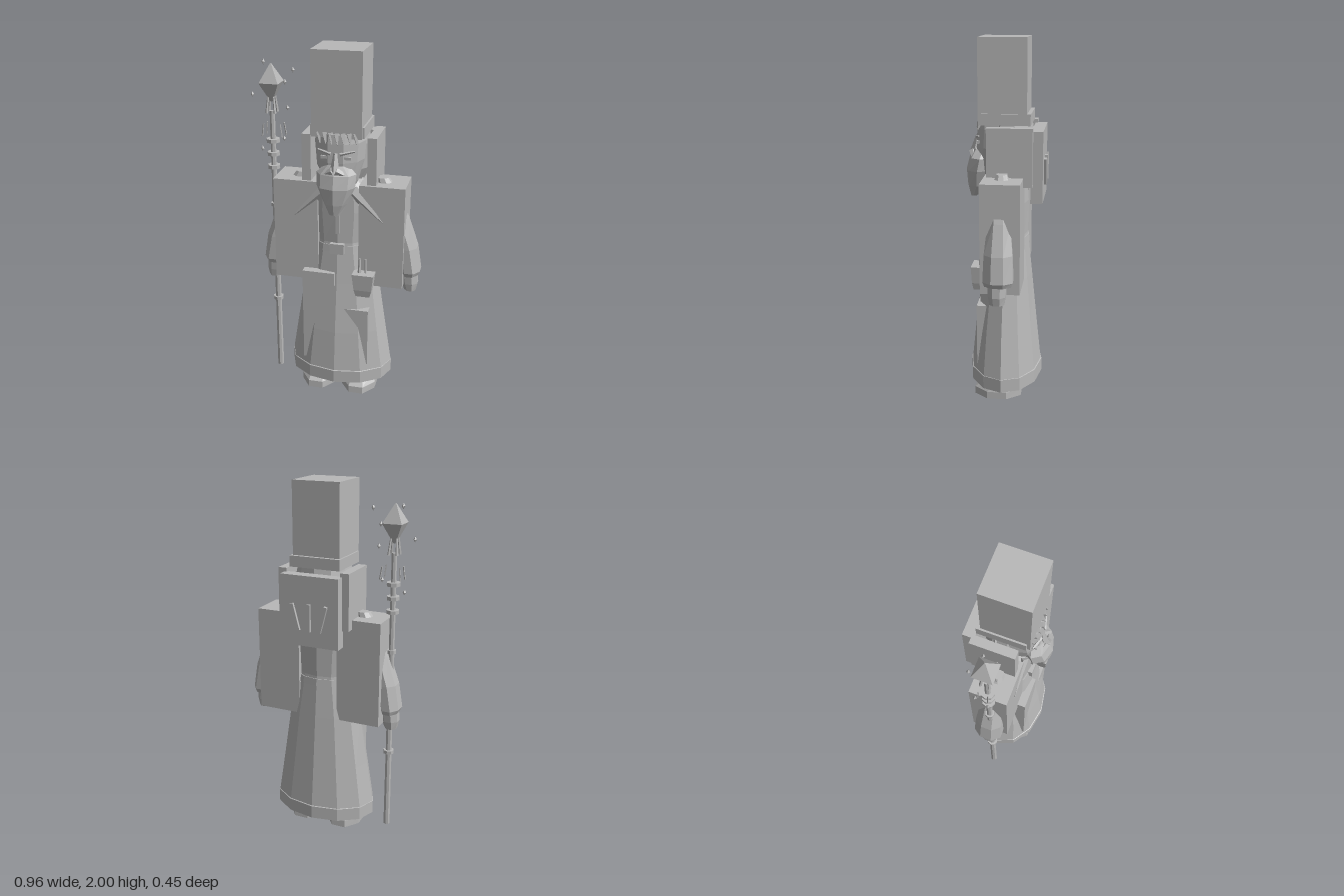
import * as THREE from 'three';

const stone = new THREE.MeshStandardMaterial({ color: 0xb8b8b8, flatShading: true });
stone.name = 'plain grey';

// Closed faceted solid through elliptical rings [y, cx, cz, rx, rz], lowest first
function loft(rings, sides, turn = 0) {
  const pos = [], idx = [];
  for (const [y, cx, cz, rx, rz] of rings) {
    for (let i = 0; i < sides; i++) {
      const a = turn + (i / sides) * Math.PI * 2;
      pos.push(cx + Math.sin(a) * rx, y, cz + Math.cos(a) * rz);
    }
  }
  const last = rings.length - 1, top = last * sides;
  const low = pos.length / 3;
  pos.push(rings[0][1], rings[0][0], rings[0][2]);
  pos.push(rings[last][1], rings[last][0], rings[last][2]);
  for (let i = 0; i < sides; i++) {
    const j = (i + 1) % sides;
    for (let r = 0; r < last; r++) {
      const a = r * sides, b = a + sides;
      idx.push(a + i, a + j, b + j, a + i, b + j, b + i);
    }
    idx.push(low, j, i, low + 1, top + i, top + j);
  }
  const g = new THREE.BufferGeometry();
  g.setAttribute('position', new THREE.Float32BufferAttribute(pos, 3));
  g.setIndex(idx);
  g.computeVertexNormals();
  return g;
}

function add(parent, name, geometry, x = 0, y = 0, z = 0) {
  const m = new THREE.Mesh(geometry, stone);
  m.name = name;
  m.position.set(x, y, z);
  parent.add(m);
  return m;
}

// Box given by its limits on each axis
function block(parent, name, x0, x1, y0, y1, z0, z1) {
  return add(parent, name, new THREE.BoxGeometry(x1 - x0, y1 - y0, z1 - z0),
    (x0 + x1) / 2, (y0 + y1) / 2, (z0 + z1) / 2);
}

// Tapered rod between two points
function rod(parent, name, from, to, r0, r1, sides = 6) {
  const a = new THREE.Vector3(...from), b = new THREE.Vector3(...to);
  const d = b.clone().sub(a);
  const m = add(parent, name, new THREE.CylinderGeometry(r1, r0, d.length(), sides));
  m.position.copy(a).add(b).multiplyScalar(0.5);
  m.quaternion.setFromUnitVectors(new THREE.Vector3(0, 1, 0), d.normalize());
  return m;
}

function buildClothes(body) {
  add(body, 'robe', loft([
    [0.16, 0, 0, 0.3, 0.2], [0.4, 0, 0, 0.262, 0.175], [0.7, 0, -0.005, 0.215, 0.14],
    [0.94, 0, -0.005, 0.16, 0.115], [1.12, 0, -0.005, 0.18, 0.118],
    [1.24, 0, 0, 0.17, 0.115], [1.32, 0, 0, 0.08, 0.07]], 12));
  add(body, 'hem', loft([[0.085, 0, 0, 0.302, 0.205], [0.16, 0, 0, 0.302, 0.205],
    [0.165, 0, 0, 0.29, 0.195]], 12));
  add(body, 'belt', loft([[0.885, 0, -0.005, 0.176, 0.125], [0.925, 0, -0.005, 0.168, 0.121]], 12));
  block(body, 'buckle', -0.04, 0.04, 0.88, 0.94, 0.1, 0.13);
  for (const x of [-0.125, -0.08, 0.08, 0.125]) {
    add(body, 'beltStud', new THREE.OctahedronGeometry(0.009), x, 0.905, 0.122 - Math.abs(x) * 0.35);
  }
  block(body, 'robeTie', -0.01, 0.01, 1.0, 1.13, 0.09, 0.122);
  block(body, 'apronPanel', -0.195, -0.01, 0.2, 0.765, 0.02, 0.147);
  block(body, 'legPanel', 0.01, 0.185, 0.2, 0.55, 0.02, 0.147);
  // Belt pouch with vials
  add(body, 'pouch', loft([[0.65, 0.155, 0.137, 0.055, 0.035], [0.69, 0.155, 0.137, 0.07, 0.044],
    [0.785, 0.155, 0.137, 0.086, 0.05]], 4, Math.PI / 4));
  rod(body, 'pouchVial', [0.13, 0.77, 0.13], [0.13, 0.87, 0.125], 0.012, 0.005);
  rod(body, 'pouchStrap', [0.165, 0.78, 0.13], [0.16, 0.86, 0.11], 0.006, 0.006);
}

function buildLimbs(body, s) {
  const side = s > 0 ? 'left' : 'right';
  block(body, side + 'ArmBlock', s > 0 ? 0.115 : -0.365, s > 0 ? 0.365 : -0.115, 0.695, 1.285, -0.11, 0.1);
  add(body, side + 'Sleeve', loft([
    [0.755, s * 0.395, 0, 0.05, 0.075], [0.78, s * 0.395, 0, 0.062, 0.085],
    [0.92, s * 0.37, 0, 0.065, 0.08], [1.08, s * 0.315, 0, 0.065, 0.065],
    [1.24, s * 0.255, 0, 0.058, 0.055], [1.31, s * 0.225, 0, 0.035, 0.03]], 8, Math.PI / 8));
  add(body, side + 'Hand', loft([
    [0.655, s * 0.4, 0.005, 0.035, 0.042], [0.7, s * 0.395, 0.005, 0.05, 0.05],
    [0.78, s * 0.385, 0.005, 0.055, 0.055]], 8, Math.PI / 8));
  add(body, side + 'Boot', loft([
    [0, s * 0.122, 0.033, 0.108, 0.143], [0.04, s * 0.122, 0.033, 0.108, 0.14],
    [0.09, s * 0.122, 0.01, 0.09, 0.1], [0.16, s * 0.122, -0.01, 0.07, 0.08]], 8, Math.PI / 8));
  // Pointed collar flap
  const collar = rod(body, side + 'Collar', [s * 0.075, 1.25, 0.09], [s * 0.25, 1.08, 0.102], 0.05, 0.002, 4);
  collar.scale.set(0.8, 1, 0.5);
}

function buildHead(body) {
  block(body, 'hat', -0.135, 0.135, 1.55, 2, -0.122, 0.137);
  block(body, 'hatBand', -0.145, 0.145, 1.55, 1.61, -0.142, 0.12);
  add(body, 'hair', loft([[1.26, 0, -0.03, 0.1, 0.09], [1.36, 0, -0.02, 0.145, 0.12],
    [1.5, 0, -0.02, 0.155, 0.13], [1.57, 0, -0.02, 0.14, 0.12]], 10));
  add(body, 'face', loft([[1.2, 0, 0.06, 0.06, 0.08], [1.3, 0, 0.05, 0.1, 0.11],
    [1.42, 0, 0.04, 0.132, 0.125], [1.52, 0, 0.03, 0.138, 0.13],
    [1.57, 0, 0.03, 0.125, 0.125]], 10, Math.PI / 10));
  add(body, 'beard', loft([[1.14, 0, 0.18, 0.03, 0.02], [1.2, 0, 0.16, 0.065, 0.055],
    [1.29, 0, 0.15, 0.105, 0.072], [1.36, 0, 0.135, 0.108, 0.068],
    [1.405, 0, 0.12, 0.06, 0.06]], 8));
  rod(body, 'nose', [0, 1.38, 0.178], [0, 1.475, 0.158], 0.026, 0.01, 4);
  for (const s of [-1, 1]) {
    rod(body, 'moustache', [s * 0.008, 1.385, 0.185], [s * 0.085, 1.345, 0.165], 0.022, 0.006, 5);
    rod(body, 'brow', [s * 0.025, 1.47, 0.16], [s * 0.1, 1.485, 0.138], 0.009, 0.005, 4);
    block(body, 'eye', s * 0.06 - 0.022, s * 0.06 + 0.022, 1.44, 1.455, 0.14, 0.154);
    // Side slabs beside the head
    const x = s * 0.18;
    block(body, 'sideSlab', x - 0.025, x + 0.025, 1.235, 1.545, -0.158, 0.085);
  }
  // Fringe of pointed locks
  for (let i = -3; i <= 3; i++) {
    const z = 0.152 - Math.abs(i) * 0.006;
    rod(body, 'fringeLock', [i * 0.033, 1.575, z - 0.01], [i * 0.033 + 0.012, 1.52, z + 0.008], 0.018, 0.003, 4);
  }
}

function buildBackpack(body) {
  block(body, 'backSlab', -0.167, 0.167, 1.14, 1.525, -0.21, -0.145);
  for (const i of [-1, 0, 1]) {
    const strip = add(body, 'backStrip', new THREE.BoxGeometry(0.02, 0.15, 0.02), i * 0.08, 1.3, -0.215);
    strip.rotation.z = -i * 0.26;
  }
}

function buildStaff(root) {
  const staff = new THREE.Group();
  staff.name = 'staff';
  staff.position.set(-0.362, 0, 0.012);
  root.add(staff);
  rod(staff, 'shaft', [0, 0.03, 0], [0, 1.64, 0], 0.019, 0.015, 8);
  for (const [y, r] of [[0.5, 0.03], [1.1, 0.025], [1.325, 0.035], [1.4, 0.035], [1.475, 0.038]]) {
    rod(staff, 'staffRing', [0, y - 0.01, 0], [0, y + 0.01, 0], r, r, 8);
  }
  // Claw holding the crystal
  for (let i = 0; i < 4; i++) {
    const a = i * Math.PI / 2 + Math.PI / 4, x = Math.cos(a), z = Math.sin(a);
    rod(staff, 'claw', [x * 0.033, 1.63, z * 0.033], [x * 0.02, 1.73, z * 0.02], 0.008, 0.005, 4);
  }
  add(staff, 'crystal', loft([[1.69, 0, 0, 0.008, 0.008], [1.795, 0, 0, 0.075, 0.075],
    [1.895, 0, 0, 0.003, 0.003]], 4, Math.PI / 4));
  // Hanging strands and floating shards
  for (const [x, z] of [[-0.04, -0.03], [-0.045, 0.02], [0.05, 0.02], [0.055, -0.03]]) {
    rod(staff, 'strand', [x, 1.57, z], [x * 1.2, 1.5, z * 1.1], 0.004, 0.004, 4);
  }
  const shards = [[-0.06, 1.89, -0.055], [0.122, 1.865, 0], [-0.113, 1.72, -0.012], [0.092, 1.665, 0.015],
    [0.064, 1.79, -0.037], [0.066, 1.49, 0.004], [-0.055, 1.43, 0.02]];
  for (const [x, y, z] of shards) {
    add(staff, 'shard', new THREE.OctahedronGeometry(0.01), x, y, z).scale.y = 1.6;
  }
}

export function createModel() {
  const root = new THREE.Group();
  root.name = 'robedFigure';
  const body = new THREE.Group();
  body.name = 'body';
  body.position.x = 0.025;
  root.add(body);
  buildClothes(body);
  buildLimbs(body, 1);
  buildLimbs(body, -1);
  buildHead(body);
  buildBackpack(body);
  buildStaff(root);
  return root;
}
